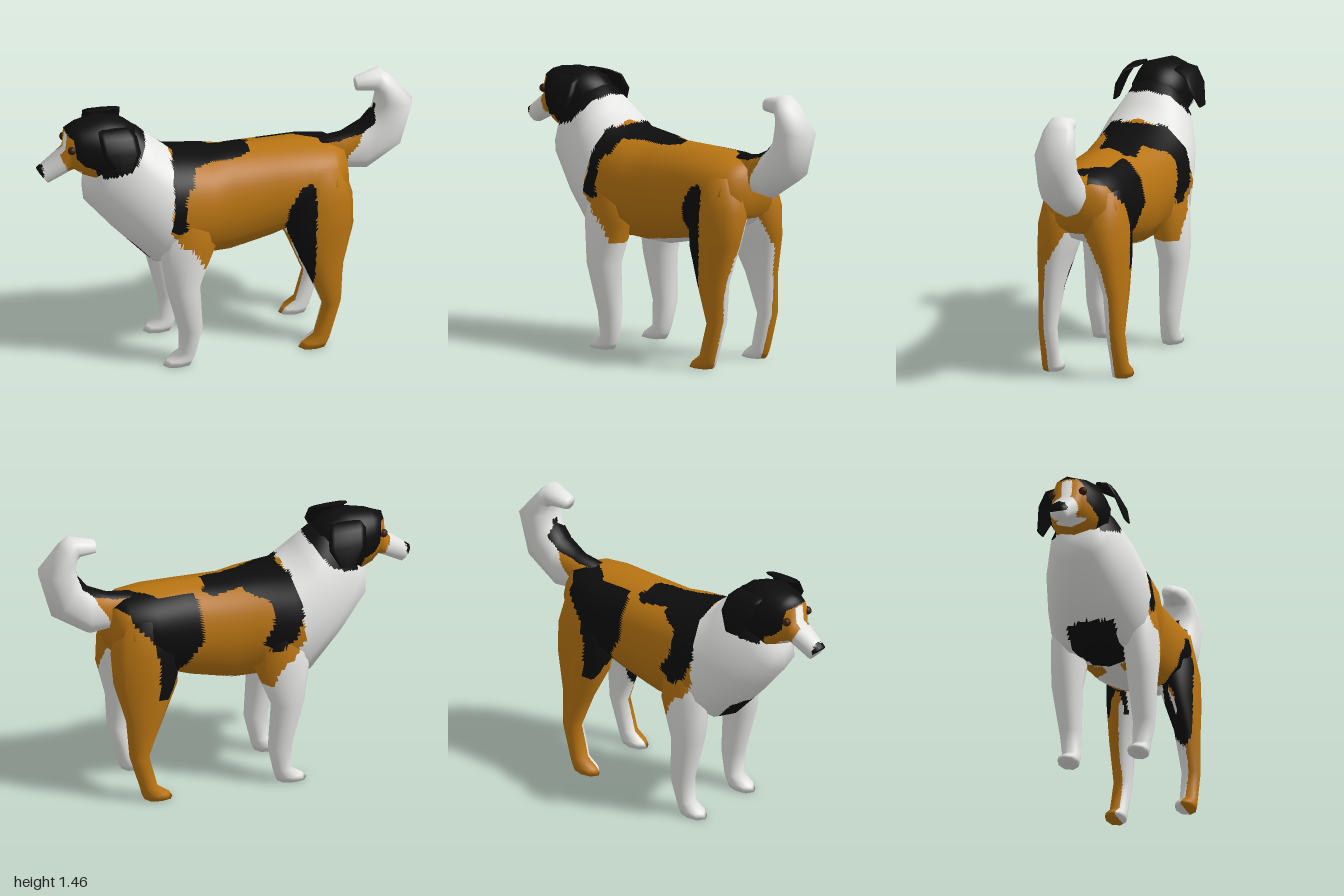
import * as THREE from 'three';

const WHITE = 0, BROWN = 1, BLACK = 2;
const mat = (name, color) => {
  const m = new THREE.MeshStandardMaterial({ color });
  m.name = name;
  return m;
};

// Point-in-polygon test for the coat patches
function inside(poly, x, y) {
  let hit = false;
  for (let i = 0, j = poly.length - 1; i < poly.length; j = i++) {
    const [ax, ay] = poly[i], [bx, by] = poly[j];
    if ((ay > y) !== (by > y) && x < ((bx - ax) * (y - ay)) / (by - ay) + ax) hit = !hit;
  }
  return hit;
}

// Side patches are [x, y]; back patches are [x, z]
const leftPatches = [
  [[-.31, 1.2], [-.32, 1.06], [-.35, .82], [-.32, .79], [-.27, .8], [-.27, .98], [-.23, 1.06], [-.22, 1.2]],
  [[.28, .7], [.29, .82], [.35, .93], [.41, .96], [.43, .92], [.43, .7], [.42, .36], [.4, .36], [.35, .52]],
];
const rightPatches = [
  [[-.3, 1.2], [-.35, .95], [-.3, .82], [-.2, .76], [-.13, .82], [-.19, .92], [-.19, 1.03], [-.06, 1.08], [-.05, 1.2]],
  [[.2, 1.15], [.18, 1], [.18, .86], [.27, .72], [.36, .56], [.42, .57], [.41, .75], [.45, .9], [.55, 1], [.55, 1.15]],
];
const backPatches = [
  [[-.28, 0], [-.34, -.28], [-.18, -.27], [-.18, -.2], [-.1, -.1], [.1, -.14], [.15, -.1], [.12, -.03], [.13, .05],
    [.05, .08], [-.1, .1], [-.2, .15], [-.23, .28], [-.34, .28]],
  [[.2, -.24], [.2, -.19], [.35, -.14], [.42, -.06], [.5, 0], [.6, .03], [.72, .03], [.72, -.03], [.62, -.06], [.55, -.15], [.55, -.25]],
];
const saddle = [[-.29, 1.2], [-.36, .82], [-.3, .72], [-.23, .68], [-.18, .58], [-.1, .58], [0, .605], [.3, .645], [.3, 1.2]];
const nape = [[-.42, 1.29], [-.53, 1.15], [-.68, 1.1], [-.7, 1.5], [-.4, 1.5]];

function coat(x, y, z) {
  const a = Math.abs(z);
  if (inside(nape, x, y)) return BLACK;
  if ((z > 0 ? leftPatches : rightPatches).some(p => inside(p, x, y)) && a > .1) return BLACK;
  if (y > 1.02 && backPatches.some(p => inside(p, x, z))) return BLACK;
  if (x > -.54 && x < -.2 && y > .5 && y < .68 && a < .13 - .3 * Math.max(0, x + .35)) return BLACK;
  if (inside(saddle, x, y)) return BROWN;
  if (x < .28) return WHITE;
  // Pale inner side of the hind legs
  const edge = y > .78 ? 0 : y > .6 ? .06 + (.78 - y) * .55 : .16 + Math.min(.03, (.6 - y) * .15);
  return a > edge - (z < 0 ? .02 : 0) ? BROWN : WHITE;
}

const mask = [[-.86, 1.42], [-.85, 1.34], [-.82, 1.32], [-.81, 1.22], [-.77, 1.18], [-.72, 1.16], [-.69, 1.08],
  [-.55, 1.1], [-.42, 1.2], [-.4, 1.45]];
function headCoat(x, y, z) {
  const a = Math.abs(z);
  if (x < -.972 && y > 1.09) return BLACK;
  if (a < .028 && x < -.8 && y < 1.33) return WHITE;
  if (inside(mask, x, y)) return BLACK;
  if (x < -.87 - (y - 1.2) * .3) return WHITE;
  return y > (x < -.78 ? 1.135 : 1.05) ? BROWN : WHITE;
}

const tailTop = [[.4, 1.2], [.4, 1.085], [.6, 1.085], [.72, 1.125], [.785, 1.18], [.8, 1.26]];
const tailRoot = [[.4, .85], [.62, .9], [.64, 1], [.7, 1.08], [.73, 1.16], [.4, 1.2]];
function tailCoat(x, y, z) {
  if (Math.abs(z) < .075 && inside(tailTop, x, y)) return BLACK;
  return inside(tailRoot, x, y) ? BROWN : WHITE;
}

// Loft of oval sections [x1, y1, x2, y2, halfWidth, zCentre], split finely so that patches get clean edges
function loft(sections, paint, mirror = 1, sides = 10, cuts = 9) {
  const rings = sections.map(([x1, y1, x2, y2, w, zc = 0]) => Array.from({ length: sides }, (_, j) => {
    const t = (j / sides) * Math.PI * 2, c = Math.cos(t), s = Math.sin(t);
    const f = .5 + .5 * c, side = Math.sign(s) * Math.abs(s) ** .8;
    return new THREE.Vector3(x2 + (x1 - x2) * f, y2 + (y1 - y2) * f, (zc + w * side) * mirror);
  }));
  // End caps
  const cap = ring => {
    const mid = ring.reduce((v, p) => v.add(p), new THREE.Vector3()).divideScalar(sides);
    return ring.map(() => mid.clone());
  };
  rings.unshift(cap(rings[0]));
  rings.push(cap(rings[rings.length - 1]));
  const pts = rings.flat(), quads = [], tris = [];
  for (let i = 0; i < rings.length - 1; i++) for (let j = 0; j < sides; j++) {
    const k = (j + 1) % sides;
    const q = [i * sides + j, i * sides + k, (i + 1) * sides + k, (i + 1) * sides + j];
    quads.push(q);
    tris.push(q[0], q[1], q[2], q[0], q[2], q[3]);
  }
  // Turn the faces outwards
  let volume = 0;
  for (let i = 0; i < tris.length; i += 3) {
    volume += pts[tris[i]].dot(pts[tris[i + 1]].clone().cross(pts[tris[i + 2]]));
  }
  if (volume < 0) { tris.reverse(); quads.forEach(q => q.reverse()); }
  const coarse = new THREE.BufferGeometry().setFromPoints(pts);
  coarse.setIndex(tris);
  coarse.computeVertexNormals();
  const nrm = pts.map((_, i) => new THREE.Vector3().fromBufferAttribute(coarse.attributes.normal, i));

  const pos = [], nor = [], lists = [[], [], []];
  const mix = (arr, q, u, v) => arr[q[0]].clone().lerp(arr[q[1]], u).lerp(arr[q[3]].clone().lerp(arr[q[2]], u), v);
  for (const q of quads) {
    const base = pos.length / 3, row = cuts + 1;
    for (let v = 0; v <= cuts; v++) for (let u = 0; u <= cuts; u++) {
      pos.push(...mix(pts, q, u / cuts, v / cuts).toArray());
      nor.push(...mix(nrm, q, u / cuts, v / cuts).normalize().toArray());
    }
    for (let v = 0; v < cuts; v++) for (let u = 0; u < cuts; u++) {
      const a = base + v * row + u;
      for (const t of [[a, a + 1, a + row + 1], [a, a + row + 1, a + row]]) {
        const m = [0, 1, 2].map(k => t.reduce((s, i) => s + pos[i * 3 + k], 0) / 3);
        for (const i of t) lists[paint(...m)].push(i);
      }
    }
  }
  const geo = new THREE.BufferGeometry();
  geo.setAttribute('position', new THREE.Float32BufferAttribute(pos, 3));
  geo.setAttribute('normal', new THREE.Float32BufferAttribute(nor, 3));
  geo.setIndex(lists.flat());
  let start = 0;
  lists.forEach((l, i) => { if (l.length) geo.addGroup(start, l.length, i); start += l.length; });
  return geo;
}

export function createModel() {
  const dog = new THREE.Group();
  dog.name = 'dog';
  const fur = [mat('whiteFur', 0xe4e4e2), mat('brownFur', 0xb87412), mat('blackFur', 0x0d0d0d)];
  const eyeMat = mat('darkBrownEye', 0x3a1c0a);
  const add = (name, geo, m = fur) => {
    const mesh = new THREE.Mesh(geo, m);
    mesh.name = name;
    dog.add(mesh);
    return mesh;
  };

  // Neck, chest, trunk and rump
  add('body', loft([
    [-.6, 1.34, -.75, 1.04, .1], [-.47, 1.32, -.75, .93, .17], [-.38, 1.23, -.6, .75, .24],
    [-.28, 1.147, -.42, .555, .28], [-.1, 1.125, -.14, .57, .265], [0, 1.115, 0, .56, .228],
    [.25, 1.115, .22, .61, .217], [.42, 1.107, .38, .67, .225], [.55, 1.09, .55, .73, .2], [.62, 1.06, .635, .8, .13],
  ], coat, 1, 12, 10));

  // Skull and muzzle
  add('head', loft([
    [-.44, 1.29, -.6, 1.04, .11], [-.54, 1.375, -.66, 1.06, .15], [-.65, 1.4, -.72, 1.07, .155],
    [-.78, 1.378, -.77, 1.09, .125], [-.845, 1.355, -.81, 1.12, .085], [-.855, 1.25, -.825, 1.12, .07],
    [-.998, 1.14, -.94, 1.062, .05],
  ], headCoat, 1, 10, 10));

  // Tail curling up and forward at the tip
  add('tail', loft([
    [.5, 1.1, .52, .95, .06], [.63, 1.115, .63, .91, .07], [.74, 1.165, .74, .9, .1], [.79, 1.23, .93, 1.02, .105],
    [.8, 1.29, 1, 1.26, .105], [.8, 1.335, .885, 1.405, .085], [.785, 1.345, .83, 1.455, .068], [.7, 1.35, .7, 1.42, .04],
  ], tailCoat));

  for (const [side, s] of [['left', 1], ['right', -1]]) {
    add(side + 'FrontLeg', loft([
      [-.36, .9, -.12, .9, .09, .17], [-.4, .68, -.1, .66, .09, .195], [-.365, .45, -.185, .45, .082, .205],
      [-.3, .2, -.17, .2, .058, .2], [-.295, .07, -.2, .07, .05, .19], [-.36, .03, -.21, .03, .052, .19],
      [-.38, 0, -.225, 0, .05, .19],
    ], coat, s, 8, 7));

    add(side + 'HindLeg', loft([
      [.34, 1, .6, 1, .1, .1], [.28, .8, .65, .82, .12, .118], [.3, .62, .645, .66, .085, .15],
      [.38, .45, .585, .45, .06, .177], [.465, .24, .57, .25, .05, .185], [.42, .07, .515, .07, .048, .19],
      [.36, .03, .505, .03, .052, .19], [.34, 0, .49, 0, .05, .19],
    ], coat, s, 8, 8));

    // Folded hanging ear
    add(side + 'Ear', loft([
      [-.7, 1.37, -.53, 1.37, .02, .11], [-.71, 1.355, -.51, 1.345, .016, .165], [-.7, 1.28, -.5, 1.27, .012, .207],
      [-.64, 1.18, -.55, 1.18, .008, .235],
    ], () => BLACK, s, 8, 2));

    const eye = add(side + 'Eye', new THREE.SphereGeometry(.022, 12, 8), eyeMat);
    eye.position.set(-.832, 1.265, .082 * s);
  }
  return dog;
}
